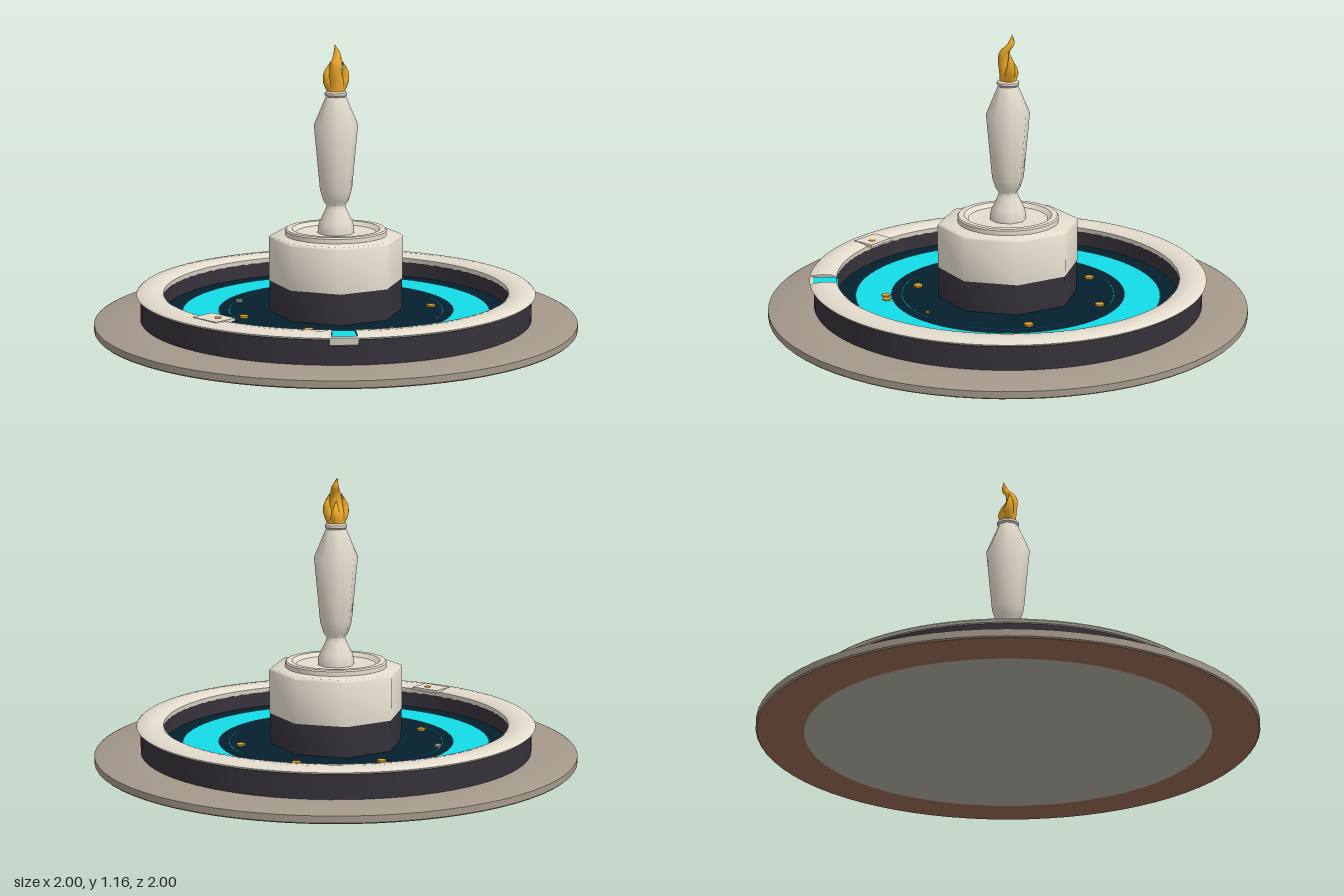
import * as THREE from 'three';
import { toCreasedNormals } from 'three/addons/utils/BufferGeometryUtils.js';

const material = (name, color) => {
  const m = new THREE.MeshStandardMaterial({ color });
  m.name = name;
  return m;
};

export function createModel() {
  const group = new THREE.Group();
  const stone = material('pale stone', 0xe4dccd);
  const paving = material('paving', 0xa4988a);
  const earth = material('brown underside', 0x996c52);
  const grey = material('grey underside', 0xb0aca0);
  const wall = material('dark wall', 0x35313a);
  const navy = material('navy basin', 0x04202e);
  const water = material('cyan water', 0x14eefa);
  const gold = material('gold', 0xeeaa2a);

  const add = (name, geometry, mat, [x, y, z] = [0, 0, 0], crease = 0.6) => {
    const mesh = new THREE.Mesh(toCreasedNormals(geometry, crease), mat);
    mesh.name = name;
    mesh.position.set(x, y, z);
    group.add(mesh);
    return mesh;
  };
  // Profiles run counter-clockwise: out along the bottom, up, then inwards
  const lathe = (profile, segments = 72, start = 0, length = Math.PI * 2) =>
    new THREE.LatheGeometry(profile.map(([r, y]) => new THREE.Vector2(r, y)), segments, start, length);
  const flatRing = (inner, outer, start = 0, length = Math.PI * 2) =>
    new THREE.RingGeometry(inner, outer, 72, 1, start, length).rotateX(-Math.PI / 2);

  // Ground slab with its two-tone underside
  add('baseUnderside', lathe([[0, 0], [0.81, 0]]), grey);
  add('baseUndersideRing', lathe([[0.81, 0], [0.995, 0]]), earth);
  add('baseSlab', lathe([[0.995, 0], [1, 0.005], [1, 0.032], [0.99, 0.037], [0.8, 0.04]]), paving);

  // Basin wall and floor
  add('basinWall', lathe([[0.81, 0.035], [0.81, 0.142]]), wall);
  add('basinInside', lathe([[0.718, 0.14], [0.715, 0.065]]), wall);
  add('basinFloor', lathe([[0.715, 0.065], [0, 0.065]]), navy);

  // Rounded coping, open at the front for the spout
  const rimProfile = [[0.8, 0.14], [0.82, 0.14], [0.826, 0.148], [0.815, 0.157], [0.77, 0.161],
    [0.728, 0.157], [0.714, 0.148], [0.718, 0.125]];
  const gapStart = -0.083, gapEnd = 0.036;
  add('rim', lathe(rimProfile, 96, gapEnd, Math.PI * 2 - (gapEnd - gapStart)), stone);

  // Spout water fills the gap and spills down the inner wall
  add('spoutWater', lathe([[0.812, 0.135], [0.812, 0.15], [0.715, 0.15], [0.707, 0.14], [0.707, 0.1]],
    4, gapStart, gapEnd - gapStart), water);
  add('spoutLip', lathe([[0.805, 0.113], [0.82, 0.12], [0.826, 0.149], [0.812, 0.152]],
    4, gapStart - 0.01, gapEnd - gapStart + 0.015), stone);

  // Repaired slab on the rim
  const slab = add('rimPatch', new THREE.BoxGeometry(0.13, 0.012, 0.1), stone, [-0.505, 0.157, 0.525]);
  slab.rotation.y = -0.82;

  // Water channel and broken inlaid line
  add('waterRing', flatRing(0.487, 0.637), water, [0, 0.069, 0]);
  for (const [start, length] of [[-0.5, 0.9], [1.1, 0.85], [2.35, 1.2], [4.1, 1.25]]) {
    add('inlayLine', flatRing(0.441, 0.446, start, length), water, [0, 0.068, 0]);
  }

  // Small gold studs
  const studs = [[0.4, -0.025], [0.21, -0.35], [-0.13, -0.37], [-0.385, 0.128], [-0.13, 0.365],
    [0.2, 0.36, 0.008], [-0.025, 0.51], [0.022, 0.51], [-0.49, 0.53, 0.015, 0.161]];
  for (const [x, z, r = 0.019, y = 0.07] of studs) {
    add('stud', new THREE.CylinderGeometry(r, r, 0.008, 10), gold, [x, y, z]);
  }
  add('greyStud', new THREE.CylinderGeometry(0.015, 0.015, 0.008, 8), grey, [-0.4, 0.07, -0.16]);

  // Softly shaded octagonal pedestal
  const foot = add('pedestalFoot', lathe([[0.292, 0.06], [0.292, 0.193]], 8), wall, [0, 0, 0], 0.9);
  const block = add('pedestal', lathe([[0.285, 0.193], [0.294, 0.193], [0.294, 0.374], [0.286, 0.382], [0.18, 0.385]], 8),
    stone, [0, 0, 0], 0.9);
  for (const part of [foot, block]) part.scale.x = 0.945;

  // Raised collar around a shallow dish
  add('collar', lathe([[0.21, 0.375], [0.21, 0.402], [0.205, 0.408], [0.182, 0.408], [0.174, 0.4],
    [0.165, 0.392], [0, 0.388]], 48), stone);

  // Torch column with softened facets
  add('torchColumn', lathe([[0.076, 0.388], [0.074, 0.42], [0.067, 0.44], [0.045, 0.485], [0.038, 0.505],
    [0.052, 0.525], [0.066, 0.57], [0.091, 0.84], [0.042, 0.955]], 8), stone, [0, 0, 0], 0.9);
  add('torchCup', lathe([[0.035, 0.953], [0.046, 0.962], [0.046, 0.972], [0.036, 0.978], [0, 0.978]], 16), stone);

  // Flame tongues: tapered tubes bent along curves
  const tongue = (name, points, radii) => {
    const curve = new THREE.CatmullRomCurve3(points.map((p) => new THREE.Vector3(...p)));
    const geometry = new THREE.CylinderGeometry(1, 1, 1, 12, 16);
    const pos = geometry.attributes.position;
    for (let i = 0; i < pos.count; i++) {
      const t = pos.getY(i) + 0.5;
      const c = curve.getPoint(t);
      const k = Math.min(Math.floor(t * (radii.length - 1)), radii.length - 2);
      const r = THREE.MathUtils.lerp(radii[k], radii[k + 1], t * (radii.length - 1) - k);
      pos.setXYZ(i, c.x + pos.getX(i) * r, c.y, c.z + pos.getZ(i) * r);
    }
    add(name, geometry, gold, [0, 0, 0], 1.2);
  };
  tongue('flameCore', [[0, 0.972, 0], [0, 1.01, 0], [-0.004, 1.055, 0.014], [0, 1.095, 0.014],
    [0.005, 1.13, -0.012], [-0.003, 1.165, -0.018]], [0.034, 0.036, 0.026, 0.022, 0.015, 0.001]);
  tongue('flameLeft', [[0.012, 0.975, 0], [0.033, 1.02, -0.004], [0.038, 1.06, -0.006], [0.026, 1.1, 0]],
    [0.024, 0.02, 0.013, 0.001]);
  tongue('flameRight', [[-0.012, 0.975, 0], [-0.033, 1.015, 0.006], [-0.038, 1.055, 0.012], [-0.022, 1.1, 0.006]],
    [0.024, 0.02, 0.013, 0.001]);
  tongue('flameBack', [[0, 0.975, -0.01], [0.005, 1.01, -0.022], [0.004, 1.04, -0.02], [0, 1.07, -0.008]],
    [0.024, 0.02, 0.012, 0.001]);

  return group;
}
